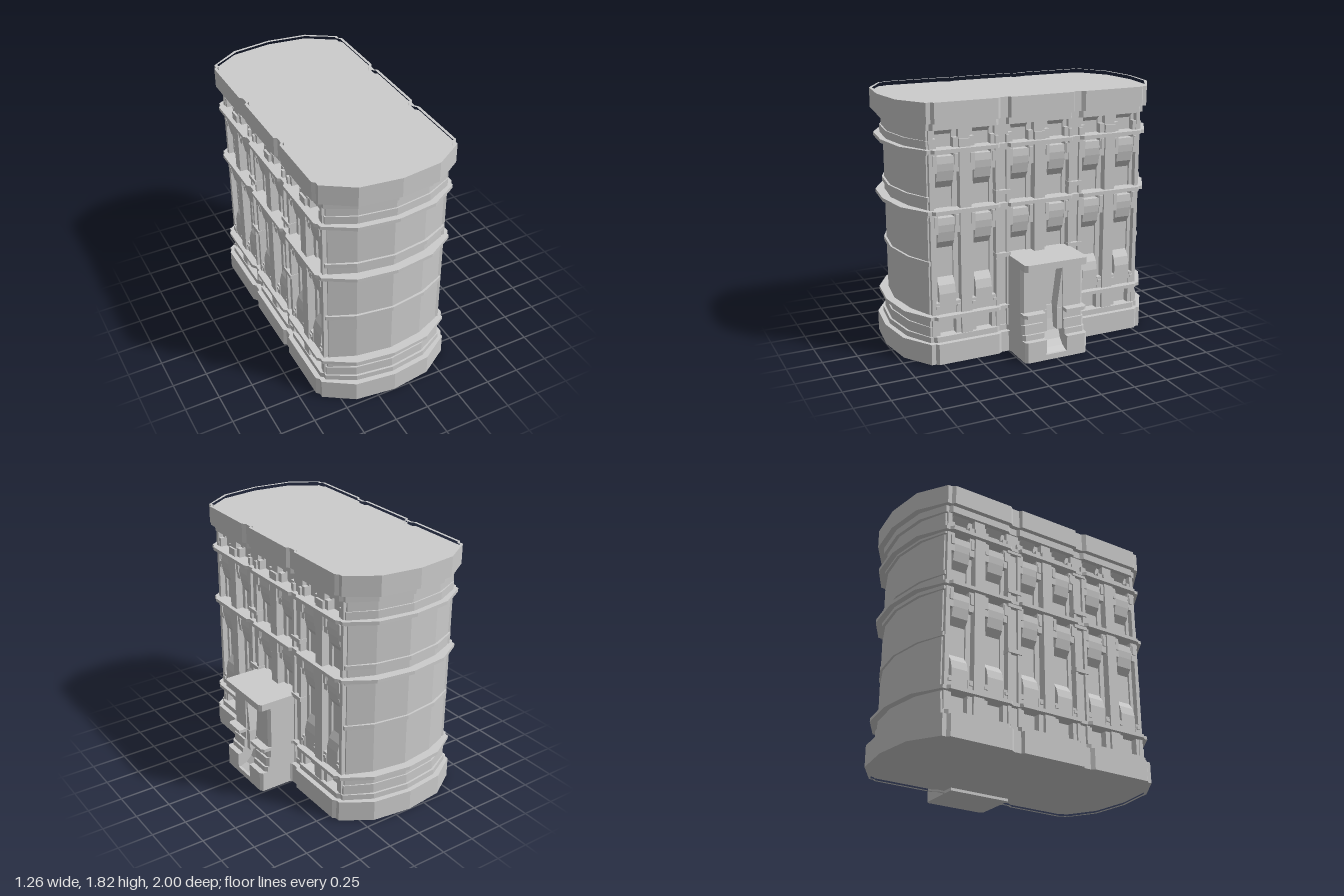
import * as THREE from 'three';

const mat = new THREE.MeshStandardMaterial({ color: 0xcccccc, flatShading: true });

function add(parent, name, geometry) {
  const m = new THREE.Mesh(geometry, mat);
  m.name = name;
  parent.add(m);
  return m;
}

// Box given by its limits
function box(parent, name, x0, x1, y0, y1, z0, z1) {
  add(parent, name, new THREE.BoxGeometry(x1 - x0, y1 - y0, z1 - z0))
    .position.set((x0 + x1) / 2, (y0 + y1) / 2, (z0 + z1) / 2);
}

// Plan outline raised from y0 to y1, optionally with a hole
function slab(parent, name, pts, y0, y1, hole) {
  const toShape = (p) => p.map(([x, z]) => new THREE.Vector2(x, -z));
  const shape = new THREE.Shape(toShape(pts));
  if (hole) shape.holes.push(new THREE.Path(toShape(hole)));
  const g = new THREE.ExtrudeGeometry(shape, { depth: y1 - y0, bevelEnabled: false });
  g.rotateX(-Math.PI / 2);
  add(parent, name, g).position.y = y0;
}

// x-y profile swept along z
function sweep(parent, name, pts, z0, z1) {
  const shape = new THREE.Shape(pts.map(([x, y]) => new THREE.Vector2(x, y)));
  const g = new THREE.ExtrudeGeometry(shape, { depth: z1 - z0, bevelEnabled: false });
  add(parent, name, g).position.z = z0;
}

// Tower plan with faceted rounded ends. w: half width, l: half length.
// With bay set, the long sides step back to that half width.
function plan(w, l, bay) {
  const corner = 0.83 - (1 - l) * 0.2;
  const side = bay
    ? [[bay, 0], [bay, 0.78], [w - 0.02, 0.78]]
    : [[w, 0], [w, 0.235], [w - 0.02, 0.25], [w - 0.02, 0.305], [w, 0.33], [w, 0.78], [w - 0.02, 0.8]];
  const q = [...side, [w - 0.02, corner], [w * 0.56, l - 0.037]];
  const half = [...q, [0, l], ...q.slice().reverse().map(([x, z]) => [-x, z])];
  return [...half, ...half.slice(1, -1).reverse().map(([x, z]) => [x, -z])];
}

const BAY = 0.4;
const bays = [-0.69, -0.42, -0.14, 0.14, 0.42, 0.69];

// One long facade, facing +x
function facade() {
  const f = new THREE.Group();
  f.name = 'facade';

  // Narrow pilasters between paired windows
  for (const z of [-0.555, 0, 0.555]) {
    box(f, 'pilaster', BAY - 0.02, 0.47, 0.19, 1.56, z - 0.04, z + 0.04);
    box(f, 'pilasterTop', BAY - 0.02, 0.455, 1.56, 1.63, z - 0.04, z + 0.04);
  }
  for (const s of [-1, 1]) {
    // Wide piers with a recessed centre strip
    const strip = s * 0.28;
    box(f, 'pierCore', BAY - 0.02, 0.445, 0.15, 1.64, strip - 0.05, strip + 0.05);
    for (const d of [-0.04, 0.04])
      box(f, 'pierEdge', BAY - 0.02, 0.465, 0.19, 1.56, strip + d - 0.012, strip + d + 0.012);
    box(f, 'cornerPier', BAY - 0.02, 0.455, 0.15, 1.64, s * 0.79 - 0.015, s * 0.79 + 0.015);
    // Small bands on the piers
    for (const [y0, y1] of [[0.7, 0.73], [1.04, 1.066], [1.15, 1.18], [1.46, 1.481]])
      box(f, 'pierBand', BAY - 0.02, 0.475, y0, y1, strip - 0.055, strip + 0.055);
  }

  for (const z of bays) {
    const a = z - 0.06, b = z + 0.06;
    // Swelling panels under the upper windows
    for (const y of [0.81, 1.23])
      sweep(f, 'spandrel', [[0.39, y], [0.4, y], [0.435, y + 0.05], [0.45, y + 0.12],
        [0.455, y + 0.17], [0.45, y + 0.22], [0.39, y + 0.22]], a, b);
    sweep(f, 'lowerSpandrel', [[0.39, 0.34], [0.45, 0.34], [0.45, 0.49], [0.435, 0.55], [0.4, 0.6], [0.39, 0.6]], a, b);
    sweep(f, 'topLintel', [[0.39, 1.59], [0.4, 1.59], [0.445, 1.635], [0.39, 1.635]], a, b);
    // Window surround shoulders
    for (const s of [-1, 1]) {
      const c = z + s * 0.0775;
      for (const [y0, y1] of [[0.34, 0.43], [0.92, 1.066], [1.34, 1.481]]) {
        box(f, 'shoulder', BAY - 0.02, 0.455, y0, y1, c - 0.0185, c + 0.0185);
        box(f, 'shoulderKnob', 0.45, 0.465, y0 + 0.05, y1 - 0.02, c - 0.012, c + 0.012);
      }
      for (const [y0, y1] of [[0.19, 0.325], [1.5, 1.57]])
        box(f, 'jamb', BAY - 0.02, 0.45, y0, y1, c - 0.0185, c + 0.0185);
      box(f, 'windowJamb', BAY - 0.02, 0.415, 0.34, 1.64, c - 0.0185, c + 0.0185);
    }
  }
  return f;
}

// Porch plan, optionally with the doorway notched out
function porchPlan(x, notched) {
  const h = [[0.28, -0.24], [x - 0.018, -0.24], [x, -0.22]];
  if (notched) h.push([x, -0.08], [0.46, -0.08]);
  return [...h, ...h.slice().reverse().map(([px, z]) => [px, -z])];
}

function porch() {
  const p = new THREE.Group();
  p.name = 'porch';
  const layers = [[0.63, 0, 0.04, false], [0.63, 0.04, 0.15, true], [0.59, 0.15, 0.19, true],
    [0.575, 0.19, 0.26, true], [0.56, 0.26, 0.32, true], [0.615, 0.32, 0.345, true],
    [0.555, 0.345, 0.64, true], [0.555, 0.64, 0.66, false], [0.625, 0.66, 0.71, false]];
  for (const [x, y0, y1, n] of layers) slab(p, 'porchLayer', porchPlan(x, n), y0, y1);

  // Curved ramp in the doorway
  sweep(p, 'ramp', [[0.45, 0.04], [0.61, 0.04], [0.56, 0.06], [0.52, 0.1], [0.495, 0.16],
    [0.48, 0.24], [0.47, 0.34], [0.45, 0.34]], -0.08, 0.08);

  // Tapering cheeks beside the door
  for (const s of [-1, 1]) {
    const pts = [[0.08, 0.64], [0.08, 0.34], [0.04, 0.34]].map(([z, y]) => new THREE.Vector2(-s * z, y));
    const g = new THREE.ExtrudeGeometry(new THREE.Shape(pts), { depth: 0.085, bevelEnabled: false });
    g.rotateY(Math.PI / 2);
    add(p, 'doorCheek', g).position.x = 0.46;
    box(p, 'doorPost', 0.46, 0.55, 0.18, 0.34, s * 0.06 - 0.02, s * 0.06 + 0.02);
  }
  return p;
}

export function createModel() {
  const model = new THREE.Group();
  model.name = 'building';
  const tower = new THREE.Group();
  tower.name = 'tower';
  tower.position.x = -0.12;
  model.add(tower);

  // Plinth and parapet with thin raised rims
  const outer = plan(0.51, 1), inner = plan(0.49, 0.98);
  slab(tower, 'plinthRim', outer, 0, 0.02, inner);
  slab(tower, 'plinth', outer, 0.02, 0.15);
  slab(tower, 'parapet', outer, 1.68, 1.79);
  slab(tower, 'parapetRim', outer, 1.79, 1.82, inner);

  // Courses running all the way round
  for (const [w, l, y0, y1] of [[0.475, 0.965, 0.15, 0.19], [0.5, 0.985, 0.32, 0.345],
    [0.5, 0.985, 1.065, 1.09], [0.5, 0.985, 1.48, 1.505], [0.475, 0.96, 1.63, 1.68]])
    slab(tower, 'ledge', plan(w, l), y0, y1);

  // Wall drums, set back along the window bays
  for (const [w, l, y0, y1] of [[0.465, 0.95, 0.19, 0.26], [0.455, 0.94, 0.26, 0.32],
    [0.445, 0.925, 0.345, 0.7], [0.465, 0.94, 0.7, 0.73], [0.445, 0.925, 0.73, 1.04],
    [0.465, 0.945, 1.04, 1.065], [0.445, 0.925, 1.09, 1.15], [0.465, 0.94, 1.15, 1.18],
    [0.445, 0.925, 1.18, 1.465], [0.465, 0.945, 1.465, 1.48], [0.465, 0.945, 1.505, 1.56],
    [0.455, 0.935, 1.56, 1.63]])
    slab(tower, 'wall', plan(w, l, BAY), y0, y1);

  const right = facade();
  const left = facade();
  left.rotation.y = Math.PI;
  tower.add(right, left);

  model.add(porch());
  return model;
}
